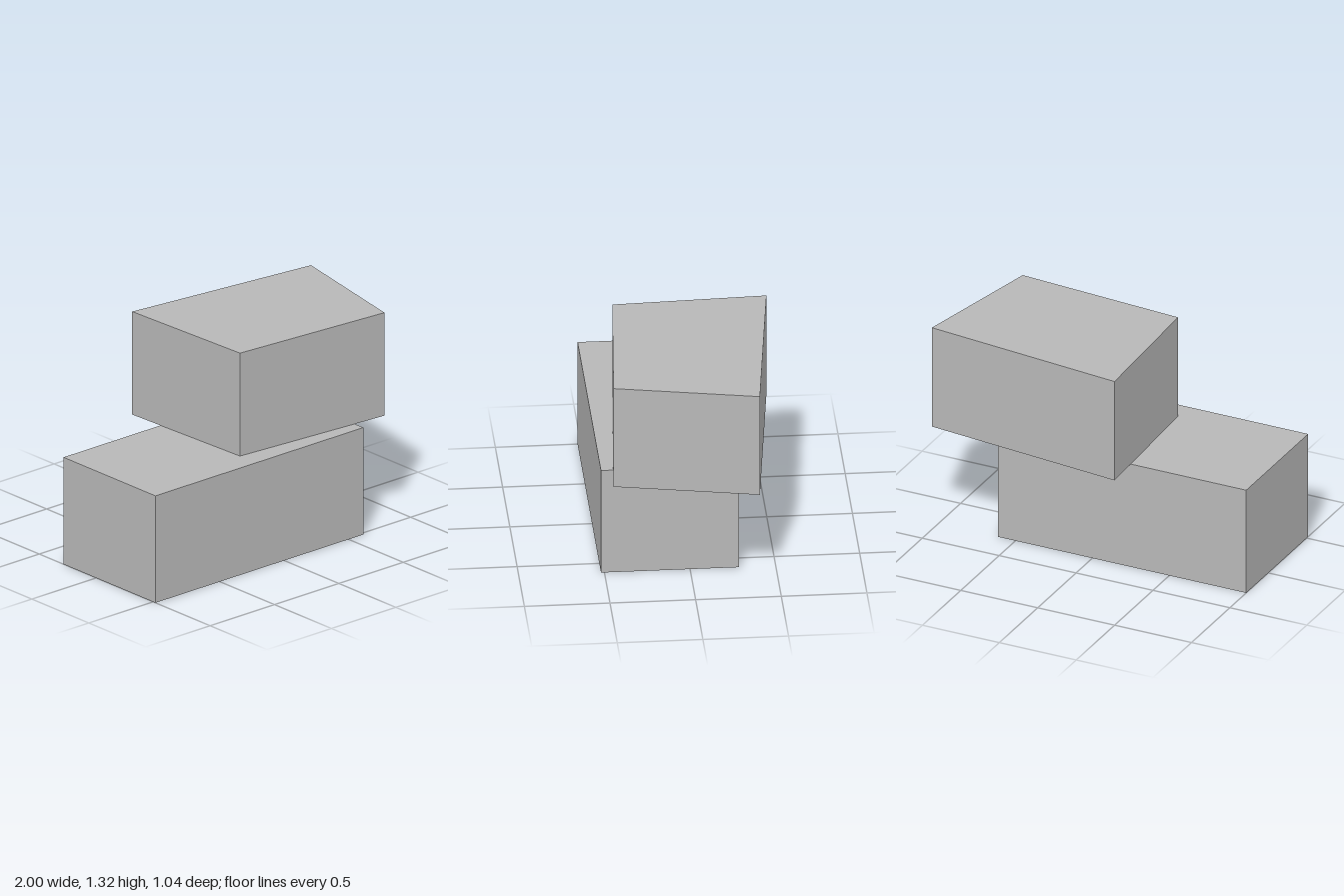
import * as THREE from 'three';

// Four walls and a roof, open underneath.
// corners: [x, z] in order front-left, front-right, back-right, back-left as seen from the front
function openBlock(name, corners, bottom, top, material) {
  const positions = [];
  const quad = (a, b, c, d) => positions.push(...a, ...b, ...c, ...a, ...c, ...d);
  const low = corners.map(([x, z]) => [x, bottom, z]);
  const high = corners.map(([x, z]) => [x, top, z]);
  for (let i = 0; i < 4; i++) {
    const j = (i + 1) % 4;
    quad(low[i], low[j], high[j], high[i]);
  }
  quad(...high);

  const geometry = new THREE.BufferGeometry();
  geometry.setAttribute('position', new THREE.Float32BufferAttribute(positions, 3));
  geometry.computeVertexNormals();
  const mesh = new THREE.Mesh(geometry, material);
  mesh.name = name;
  return mesh;
}

export function createModel() {
  const group = new THREE.Group();
  group.name = 'stackedBlocks';
  const grey = new THREE.MeshStandardMaterial({ color: 0xb8b8b8, side: THREE.DoubleSide });
  grey.name = 'light grey';

  // Long rectangular lower volume
  group.add(openBlock('lowerBlock',
    [[-1, 0.52], [0.615, 0.52], [0.615, -0.287], [-1, -0.287]], 0, 0.67, grey));

  // Skewed upper volume overhanging the lower one
  group.add(openBlock('upperBlock',
    [[-0.222, 0.383], [0.828, 0.465], [1, -0.375], [-0.26, -0.52]], 0.672, 1.317, grey));

  return group;
}
